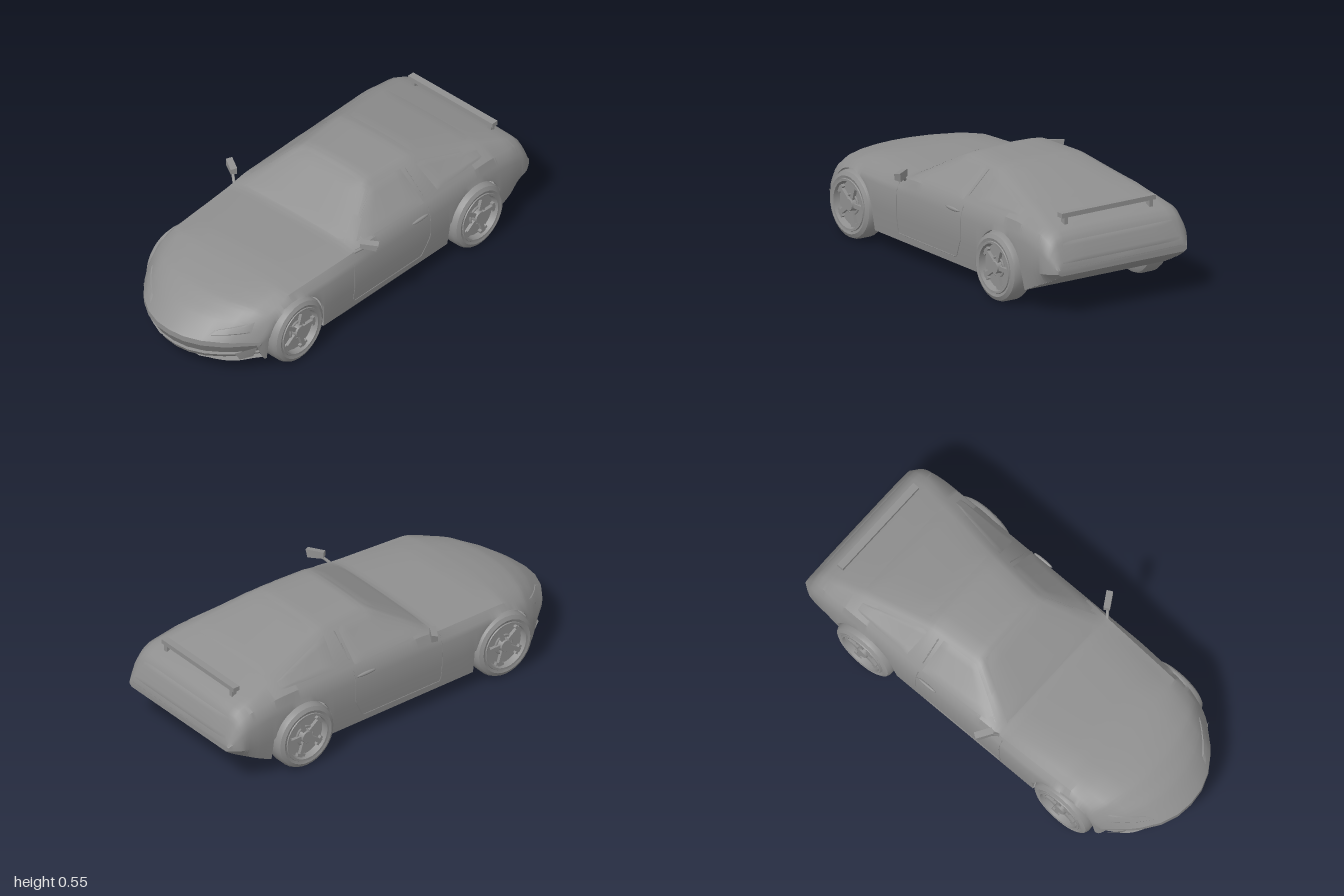
import * as THREE from 'three';
import { toCreasedNormals } from 'three/addons/utils/BufferGeometryUtils.js';

const V = (x, y, z) => new THREE.Vector3(x, y, z);

// Softened piecewise curve through [position, value] pairs, ordered tail to nose
function curve(...pts) {
  const at = (s) => {
    if (s <= pts[0][0]) return pts[0][1];
    for (let i = 1; i < pts.length; i++) {
      const [a, va] = pts[i - 1], [b, vb] = pts[i];
      if (s <= b) return va + (vb - va) * (s - a) / (b - a);
    }
    return pts[pts.length - 1][1];
  };
  return (s) => {
    const h = Math.max(0, Math.min(0.025, 1 - Math.abs(s)));
    return (at(s - h) + 2 * at(s) + at(s + h)) / 4;
  };
}

// Body outline: heights and half widths along the car
const ridgeY = curve([-1, .24], [-.95, .375], [-.88, .41], [-.72, .46], [-.36, .55], [-.1, .552], [.18, .39], [.5, .39], [.6, .38], [.7, .362], [.8, .335], [.9, .285], [.97, .23], [1, .203]);
const edgeX = curve([-1, .33], [-.85, .33], [-.72, .3], [-.35, .23], [-.08, .21], [.18, .345], [.4, .325], [.6, .31], [.8, .29], [1, .27]);
const edgeY = curve([-1, .235], [-.95, .365], [-.88, .398], [-.72, .447], [-.35, .53], [-.08, .53], [.18, .375], [.4, .372], [.6, .365], [.8, .318], [.9, .268], [1, .198]);
const beltX = curve([-1, .345], [-.9, .37], [-.7, .378], [.1, .375], [.6, .355], [.8, .345], [1, .34]);
const beltY = curve([-1, .23], [-.95, .34], [-.88, .375], [-.7, .395], [.1, .385], [.2, .372], [.6, .355], [.8, .3], [.9, .25], [1, .192]);
const sideX = curve([-1, .355], [-.95, .39], [-.85, .4], [.35, .4], [.6, .388], [.8, .372], [1, .357]);
const sideY = curve([-1, .225], [-.93, .29], [-.8, .32], [.55, .31], [.7, .29], [.8, .25], [.9, .215], [1, .186]);
const lowY = curve([-1, .21], [-.9, .2], [.8, .2], [.9, .19], [1, .18]);
const sillX = curve([-1, .34], [-.85, .38], [.5, .385], [.8, .36], [1, .345]);
const sillY = curve([-1, .2], [-.97, .18], [-.76, .08], [.88, .08], [1, .175]);
const floorY = curve([-1, .2], [-.97, .18], [-.76, .08], [1, .08]);

const AXLES = [.565, -.6], ARCH = .167;
const archY = (z) => Math.max(0, ...AXLES.map((c) =>
  Math.abs(z - c) < ARCH ? .16 + Math.sqrt(ARCH ** 2 - (z - c) ** 2) : 0));

// Half cross-section from centre top to sill; the nose is rounded in plan
function section(s) {
  const ex = edgeX(s), ey = edgeY(s), ry = ridgeY(s);
  const half = [
    [0, ry], [ex * .3, ry - (ry - ey) * .05], [ex * .6, ry - (ry - ey) * .18], [ex * .88, ry - (ry - ey) * .5],
    [ex, ey], [beltX(s), beltY(s)], [sideX(s) - .008, beltY(s) * .4 + sideY(s) * .6],
    [sideX(s), sideY(s)], [sideX(s), lowY(s)], [sillX(s), sillY(s)],
  ];
  return half.map(([x, y]) => {
    const t = Math.max(0, (s - .5) / .5);
    const z = s - .23 * t * t * Math.min(1, x / .36) ** 2.2;
    return V(x, x > .33 ? Math.max(y, Math.min(archY(z), beltY(s) - .01)) : y, z);
  });
}
const flip = (p) => V(-p.x, p.y, p.z);
const mirrorRow = (half) => [...half.slice(1).reverse().map(flip), ...half];

// Skin over rows of points; optional cap closes the first row
function skin(rows, cap = false, crease = .6) {
  const n = rows[0].length, idx = [];
  for (let i = 0; i < rows.length - 1; i++) for (let j = 0; j < n - 1; j++) {
    const a = i * n + j, b = a + 1, c = a + n, d = c + 1;
    idx.push(a, c, b, b, c, d);
  }
  if (cap) for (let j = 0; j < (n - 1) / 2; j++) {
    const k = n - 1 - j;
    idx.push(j, j + 1, k, k, j + 1, k - 1);
  }
  const g = new THREE.BufferGeometry().setFromPoints(rows.flat());
  g.setIndex(idx);
  return toCreasedNormals(g, crease);
}

export function createModel() {
  const car = new THREE.Group();
  car.name = 'sportsCar';
  const grey = new THREE.MeshStandardMaterial({ color: 0x8f8f8f, side: THREE.DoubleSide });
  grey.name = 'grey';
  const add = (name, geo, parent = car) => {
    const m = new THREE.Mesh(geo, grey);
    m.name = name;
    parent.add(m);
    return m;
  };
  const bothSides = (name, build) => [1, -1].forEach((side) => {
    const g = new THREE.Group();
    g.name = (side > 0 ? 'left' : 'right') + name;
    g.scale.x = side;
    build(g);
    car.add(g);
  });

  // Body shell with open wheel arches
  const rows = [];
  for (let i = 0; i <= 200; i++) rows.push(mirrorRow(section(-1 + i * .01)));
  const body = add('bodyShell', skin(rows, true));

  // Floor, narrowed between the wheels
  const noseX = curve([-1, .34], [-.85, .378], [.7, .383], [.75, .33], [.85, .27], [.9, .2], [.93, .1]);
  const floor = [];
  for (let z = -1; z <= .931; z += .01) {
    const w = archY(z) ? .3 : noseX(z);
    floor.push([V(w, floorY(z), z), V(-w, floorY(z), z)]);
  }
  add('floor', skin(floor));

  // Front bumper: beak, slanted chin, recessed intake and splitter
  const lip = section(1).slice(0, 8);
  const bumper = [[null, 0, 1], [.175, 0, 1], [.125, -.03, .96], [.122, -.065, .94], [.106, -.065, .94], [.104, -.035, .93], [.08, -.05, .88]]
    .map(([y, dz, k]) => mirrorRow([
      ...lip.map((p) => V(p.x * k, y ?? p.y, p.z + dz)),
      V(.352 * (k + 1) / 2, y ?? .186, .725),
    ]));
  add('frontBumper', skin(bumper, false, .3));

  // Drapes a quad, given in a flat view, over the body
  const caster = new THREE.Raycaster();
  const VIEWS = {
    top: (a, b) => [V(a, 2, b), V(0, -1, 0)],
    side: (a, b) => [V(2, b, a), V(-1, 0, 0)],
    front: (a, b) => [V(a, b, 2), V(0, 0, -1)],
    back: (a, b) => [V(a, b, -2), V(0, 0, 1)],
  };
  let last = V(0, 0, 0);
  const project = (view, a, b, lift) => {
    caster.set(...VIEWS[view](a, b));
    const hit = caster.intersectObject(body)[0];
    if (hit) last = hit.point.clone().addScaledVector(hit.face.normal, lift);
    return last.clone();
  };
  const drape = (name, view, [p, q, r, s], parent = car) => {
    const n = 10, grid = [];
    for (let i = 0; i <= n; i++) {
      const row = [];
      for (let j = 0; j <= n; j++) {
        const u = j / n, v = i / n;
        const [a, b] = [0, 1].map((k) => (p[k] * (1 - u) + q[k] * u) * (1 - v) + (s[k] * (1 - u) + r[k] * u) * v);
        const rim = i === 0 || j === 0 || i === n || j === n;
        row.push(project(view, a, b, rim ? .0005 : .004));
      }
      grid.push(row);
    }
    add(name, skin(grid), parent);
  };
  const seam = (name, view, pts, parent) => {
    const path = new THREE.CurvePath();
    const p = [];
    for (let i = 1; i < pts.length; i++) for (let k = 0; k < 6; k++)
      p.push(project(view, ...[0, 1].map((c) => pts[i - 1][c] + (pts[i][c] - pts[i - 1][c]) * k / 6), .0005));
    p.push(project(view, ...pts[pts.length - 1], .0005));
    for (let i = 1; i < p.length; i++) path.add(new THREE.LineCurve3(p[i - 1], p[i]));
    add(name, new THREE.TubeGeometry(path, p.length * 2, .0025, 4), parent);
  };

  // Glass and tail panel
  drape('windscreen', 'top', [[-.175, -.075], [.175, -.075], [.31, .17], [-.31, .17]]);
  drape('rearWindow', 'top', [[.26, -.72], [-.26, -.72], [-.19, -.39], [.19, -.39]]);
  drape('tailPanel', 'back', [[.3, .345], [-.3, .345], [-.325, .255], [.325, .255]]);
  add('rearBumperBar', new THREE.BoxGeometry(.66, .03, .016)).position.set(0, .22, -.992);

  bothSides('Details', (g) => {
    drape('doorWindow', 'side', [[.13, .394], [-.09, .518], [-.275, .52], [-.285, .392]], g);
    drape('quarterWindow', 'side', [[-.36, .515], [-.69, .437], [-.69, .412], [-.385, .405]], g);
    drape('headlight', 'front', [[.19, .243], [.315, .28], [.32, .237], [.175, .222]], g);
    seam('doorSeam', 'side', [[.2, .36], [.2, .115], [-.25, .115], [-.3, .21], [-.3, .515]], g);

    // Corner intake blade
    add('cornerIntake', skin([
      [V(.268, .122, .85), V(.352, .17, .795)],
      [V(.278, .082, .83), V(.325, .105, .79)],
    ]), g);

    // Door handle
    const handle = add('doorHandle', new THREE.SphereGeometry(1, 12, 8), g);
    handle.scale.set(.008, .009, .055);
    handle.position.set(.398, .34, -.235);

    // Wing mirror, narrower at its inner end
    const head = new THREE.BoxGeometry(.085, .042, .03);
    const pos = head.attributes.position;
    for (let i = 0; i < pos.count; i++) {
      if (pos.getX(i) < 0 && pos.getY(i) < 0) pos.setY(i, -.012);
      if (pos.getX(i) > 0 && pos.getY(i) < 0) pos.setX(i, .034);
      if (pos.getZ(i) > 0) pos.setY(i, pos.getY(i) * .75);
    }
    head.computeVertexNormals();
    const mirror = add('mirrorHead', head, g);
    mirror.position.set(.426, .411, .13);
    mirror.rotation.y = .55;
    add('mirrorStalk', new THREE.TubeGeometry(new THREE.LineCurve3(V(.36, .36, .18), V(.405, .4, .145)), 1, .008, 6), g);

    // Spoiler support
    add('spoilerSupport', new THREE.BoxGeometry(.02, .04, .025), g).position.set(.235, .42, -.877);
  });

  // Spoiler bar
  add('spoiler', new THREE.BoxGeometry(.52, .022, .034)).position.set(0, .444, -.876);

  // Wheels: tyre and dished rim, five T-shaped spokes, hub
  const h = .056;
  const tyre = toCreasedNormals(new THREE.LatheGeometry([
    [0, -h], [.135, -h], [.153, -h + .01], [.16, -h + .026], [.16, h - .026], [.153, h - .01], [.135, h],
    [.122, h - .004], [.12, h + .001], [.11, h + .001], [.104, h - .03], [0, h - .03],
  ].map(([x, y]) => new THREE.Vector2(x, y)), 32), .6);
  AXLES.forEach((z, k) => bothSides(k ? 'RearWheel' : 'FrontWheel', (g) => {
    const wheel = new THREE.Group();
    wheel.position.set(k ? .377 : .355, .16, z);
    wheel.rotation.z = -Math.PI / 2;
    g.add(wheel);
    add('tyre', tyre, wheel);
    add('hub', new THREE.CylinderGeometry(.028, .034, .03, 20), wheel).position.y = h - .018;
    const ring = add('hubRing', new THREE.TorusGeometry(.045, .006, 6, 24), wheel);
    ring.rotation.x = Math.PI / 2;
    ring.position.y = h - .026;
    for (let i = 0; i < 5; i++) {
      const spoke = new THREE.Group();
      spoke.name = 'spoke';
      spoke.rotation.y = i * Math.PI * 2 / 5 + Math.PI / 2;
      add('spokeArm', new THREE.BoxGeometry(.08, .016, .02), spoke).position.set(.066, h - .02, 0);
      add('spokeFoot', new THREE.BoxGeometry(.014, .016, .045), spoke).position.set(.095, h - .02, 0);
      wheel.add(spoke);
    }
  }));
  return car;
}
